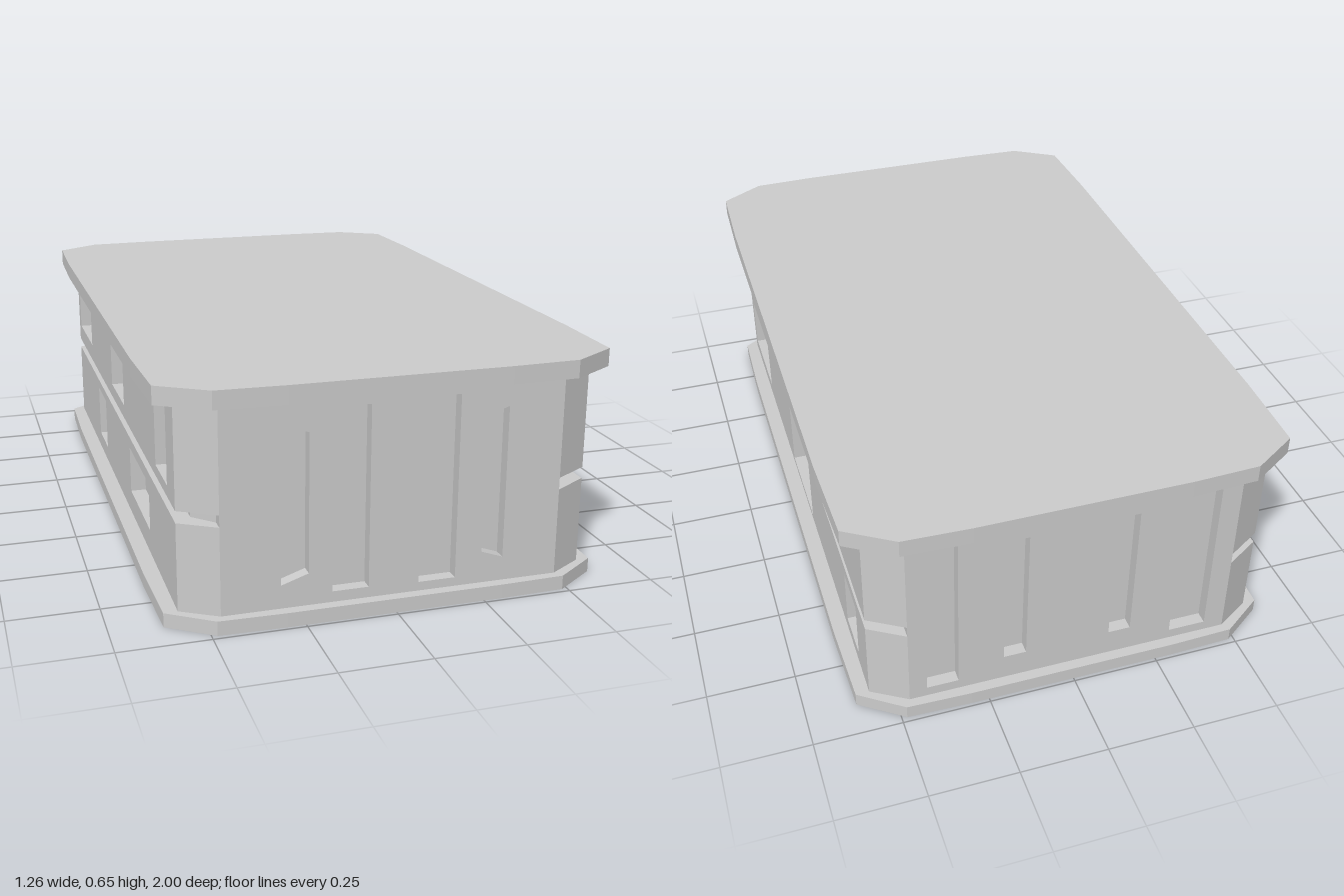
import * as THREE from 'three';

const material = new THREE.MeshStandardMaterial({ color: 0xcccccc, flatShading: true });
const toPoints = (pts) => pts.map(([x, y]) => new THREE.Vector2(x, y));
const rect = (x0, x1, y0, y1) => [[x0, y0], [x1, y0], [x1, y1], [x0, y1]];

function extrude(outline, depth, holes = []) {
  const shape = new THREE.Shape(toPoints(outline));
  holes.forEach((h) => shape.holes.push(new THREE.Path(toPoints(h))));
  return new THREE.ExtrudeGeometry(shape, { depth, bevelEnabled: false });
}

export function createModel() {
  const model = new THREE.Group();

  const add = (name, geometry) => {
    const mesh = new THREE.Mesh(geometry, material);
    mesh.name = name;
    model.add(mesh);
    return mesh;
  };

  // Horizontal prism from an (x, z) plan outline
  const prism = (name, plan, y0, y1) => {
    const geometry = extrude(plan.map(([x, z]) => [x, -z]), y1 - y0);
    add(name, geometry.rotateX(-Math.PI / 2).translate(0, y0, 0));
  };

  // Mirror one quarter of a plan, running from the front to the side
  const fullPlan = (q) => [
    ...q,
    ...[...q].reverse().map(([x, z]) => [x, -z]),
    ...q.map(([x, z]) => [-x, -z]),
    ...[...q].reverse().map(([x, z]) => [-x, z]),
  ];

  // Upright wall panel: outline seen from outside, turned to face its side
  const wall = (name, outline, holes, angle, inner, depth) => {
    const geometry = extrude(outline, depth, holes).translate(0, 0, inner);
    add(name, geometry.rotateY(angle));
  };

  const bottom = 0.04, top = 0.605, grooveLow = 0.285, grooveHigh = 0.318;

  // Overhanging slabs with clipped corners and slightly bowed edges
  prism('baseSlab', fullPlan([[0.3, 0.99], [0.485, 0.985], [0.608, 0.9], [0.615, 0.65]]), 0, bottom);
  prism('topSlab', fullPlan([[0.3, 1], [0.49, 0.993], [0.622, 0.91], [0.63, 0.65]]), top, 0.655);

  // Inner core forms the floor of every recess and groove
  prism('core', fullPlan([[0.47, 0.925], [0.525, 0.87]]), bottom, top);

  // Clipped corner blocks, split by the groove
  for (const sx of [1, -1]) {
    for (const sz of [1, -1]) {
      const plan = [[0.47, 0.925], [0.47, 0.96], [0.57, 0.9], [0.525, 0.87]]
        .map(([x, z]) => [x * sx, z * sz]);
      prism('lowerCorner', plan, bottom, grooveLow);
      prism('upperCorner', plan, grooveHigh, top);
    }
  }

  // Front wall with two tall slots between two tapered ones
  wall('frontWall', rect(-0.47, 0.47, bottom, top), [
    [[-0.31, 0.105], [-0.235, 0.13], [-0.235, 0.515], [-0.31, 0.54]],
    rect(-0.17, -0.07, 0.07, 0.575),
    rect(0.07, 0.175, 0.065, 0.58),
    [[0.25, 0.13], [0.312, 0.108], [0.312, 0.535], [0.25, 0.515]],
  ], 0, 0.925, 0.035);

  // Back wall with four slots, the outer pair taller
  wall('backWall', rect(-0.47, 0.47, bottom, top), [
    rect(-0.42, -0.33, 0.07, 0.585),
    rect(-0.2, -0.135, 0.12, 0.545),
    rect(0.11, 0.175, 0.12, 0.545),
    rect(0.3, 0.41, 0.07, 0.585),
  ], Math.PI, 0.925, 0.035);

  // Left side: the groove stops either side of the tall doorway
  wall('leftWall', [
    [-0.9, bottom], [0.9, bottom], [0.9, grooveLow], [0.175, grooveLow],
    [0.175, grooveHigh], [0.9, grooveHigh], [0.9, top], [-0.9, top],
    [-0.9, grooveHigh], [-0.185, grooveHigh], [-0.185, grooveLow], [-0.9, grooveLow],
  ], [
    rect(-0.155, 0.15, 0.055, 0.595),
    rect(-0.47, -0.26, 0.345, 0.575),
    rect(0.25, 0.455, 0.335, 0.585),
    rect(-0.87, -0.57, 0.075, 0.245),
    rect(0.645, 0.785, 0.075, 0.25),
  ], Math.PI / 2, 0.525, 0.045);

  // Right side: the groove runs the full length, with windows above and below
  wall('rightLowerWall', rect(-0.9, 0.9, bottom, grooveLow), [
    rect(-0.44, -0.28, 0.09, 0.255),
    rect(0.2, 0.52, 0.11, 0.25),
  ], -Math.PI / 2, 0.525, 0.045);
  wall('rightUpperWall', rect(-0.9, 0.9, grooveHigh, top), [
    rect(-0.86, -0.57, 0.375, 0.575),
    rect(-0.115, 0.12, 0.36, 0.57),
    rect(0.64, 0.8, 0.35, 0.56),
  ], -Math.PI / 2, 0.525, 0.045);

  return model;
}
